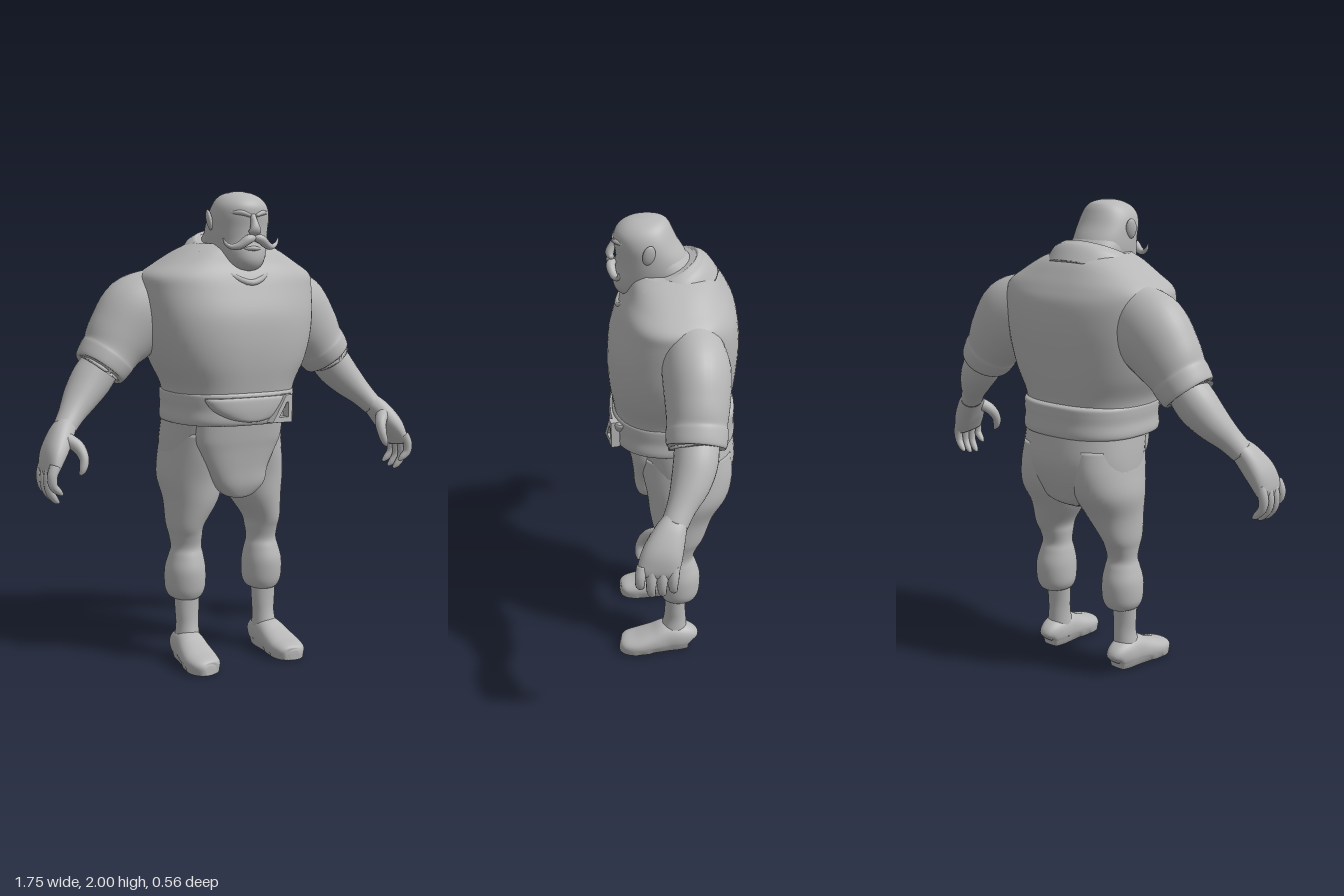
import * as THREE from 'three';

const clay = new THREE.MeshStandardMaterial({ color: 0xb8b8b8 });
clay.name = 'clay grey';

const V = (x, y, z) => new THREE.Vector3(x, y, z);
const X = V(1, 0, 0), Z = V(0, 0, 1);

// Smooth in-between rows through a short list of control rows
function refine(rows, steps) {
  const at = i => rows[Math.max(0, Math.min(rows.length - 1, i))], out = [];
  for (let i = 0; i < rows.length - 1; i++)
    for (let s = 0; s < steps; s++) {
      const t = s / steps;
      out.push(rows[i].map((b, k) => {
        const a = at(i - 1)[k], c = at(i + 1)[k], d = at(i + 2)[k];
        return b + 0.5 * t * (c - a + t * (2 * a - 5 * b + 4 * c - d + t * (3 * (b - c) + d - a)));
      }));
    }
  out.push(rows[rows.length - 1]);
  return out;
}

// Closed skin over rings; ringPoint(row index, cos, sin) gives each point
function skin(count, n, power, centre, ringPoint) {
  const pos = [], idx = [];
  const bend = v => Math.sign(v) * Math.abs(v) ** (2 / power);
  for (let i = 0; i < count; i++)
    for (let j = 0; j < n; j++) {
      const a = j / n * Math.PI * 2;
      pos.push(...ringPoint(i, bend(Math.cos(a)), bend(Math.sin(a))).toArray());
    }
  pos.push(...centre(0).toArray(), ...centre(count - 1).toArray());
  const last = (count - 1) * n;
  for (let j = 0; j < n; j++) {
    const k = (j + 1) % n;
    for (let i = 0; i < count - 1; i++) {
      const p = i * n + j, q = i * n + k;
      idx.push(p, p + n, q, q, p + n, q + n);
    }
    idx.push(count * n, j, k, count * n + 1, last + k, last + j);
  }
  const g = new THREE.BufferGeometry();
  g.setAttribute('position', new THREE.Float32BufferAttribute(pos, 3));
  g.setIndex(idx);
  g.computeVertexNormals();
  return g;
}

// Level rings, bottom to top: [y, x, radiusX, zFront, zBack]
function loft(rows, { n = 48, steps = 5, power = 2 } = {}) {
  const r = refine(rows, steps);
  const mid = i => V(r[i][1], r[i][0], (r[i][3] + r[i][4]) / 2);
  return skin(r.length, n, power, mid, (i, c, s) =>
    mid(i).add(V(c * r[i][2], 0, s * (r[i][3] - r[i][4]) / 2)));
}

// Rings square to a path: [x, y, z, radius along ref, other radius]
function sweep(rows, { n = 24, steps = 5, power = 2, ref = Z } = {}) {
  const r = refine(rows, steps), p = r.map(a => V(a[0], a[1], a[2]));
  return skin(r.length, n, power, i => p[i].clone(), (i, c, s) => {
    const t = p[Math.min(i + 1, p.length - 1)].clone().sub(p[Math.max(i - 1, 0)]).normalize();
    const u = ref.clone().addScaledVector(t, -ref.dot(t)).normalize();
    const v = u.clone().cross(t);
    return p[i].clone().addScaledVector(u, c * r[i][3]).addScaledVector(v, s * r[i][4]);
  });
}

export function createModel() {
  const root = new THREE.Group();
  root.name = 'strongman';
  const add = (name, geometry) => {
    const m = new THREE.Mesh(geometry, clay);
    m.name = name;
    root.add(m);
    return m;
  };

  // Torso and collar
  add('torso', loft([
    [1.1, 0, .265, .235, -.23], [1.2, 0, .28, .25, -.24], [1.3, 0, .33, .265, -.255],
    [1.4, 0, .362, .27, -.265], [1.5, 0, .378, .262, -.27], [1.6, 0, .387, .232, -.26],
    [1.66, 0, .38, .21, -.235], [1.71, 0, .31, .185, -.205], [1.76, 0, .225, .165, -.17],
    [1.79, 0, .16, .14, -.13]], { power: 2.5, n: 64 }));
  add('collar', sweep([
    [0, 1.69, -.01, .2, .19], [0, 1.735, .01, .195, .18], [0, 1.765, .025, .178, .163],
    [0, 1.785, .034, .155, .15], [0, 1.79, .036, .135, .135]], { ref: X, n: 48 }));
  add('neckline', sweep([
    [-.18, 1.75, .1, .02, .014], [-.1, 1.675, .175, .02, .014], [0, 1.63, .213, .022, .014],
    [.1, 1.675, .175, .02, .014], [.18, 1.75, .1, .02, .014]], { n: 10 }));

  // Belt, its front flap and buckle
  add('belt', loft([
    [1.045, 0, .255, .235, -.24], [1.05, 0, .273, .25, -.258], [1.07, 0, .278, .256, -.263],
    [1.11, 0, .274, .254, -.26], [1.15, 0, .277, .255, -.26], [1.175, 0, .276, .254, -.258],
    [1.185, 0, .262, .24, -.243]], { power: 2.5, n: 64 }));
  add('beltFlap', loft([
    [1.062, -.01, .04, .262, .2], [1.075, -.01, .1, .267, .2], [1.11, -.01, .165, .27, .18],
    [1.15, -.01, .2, .268, .17], [1.165, -.01, .2, .262, .17]], { power: 2.4 }));
  const frame = new THREE.Shape([[-.055, -.05], [.05, -.055], [.052, .055], [.02, .055]].map(p => new THREE.Vector2(...p)));
  frame.holes.push(new THREE.Path([[-.025, -.035], [.02, .03], [.035, .03], [.034, -.038]].map(p => new THREE.Vector2(...p))));
  const buckle = add('buckle', new THREE.ExtrudeGeometry(frame,
    { depth: .03, bevelSize: .004, bevelThickness: .004, bevelSegments: 2 }));
  buckle.position.set(.115, 1.108, .24);
  buckle.rotation.y = .25;

  // Hips and loincloth
  add('hips', loft([
    [.715, 0, .04, .02, -.12], [.75, 0, .13, .08, -.195], [.8, 0, .215, .105, -.225],
    [.87, 0, .265, .125, -.253], [.95, 0, .272, .15, -.267], [1.07, 0, .264, .18, -.25]], { power: 2.3 }));
  add('loincloth', loft([
    [.722, 0, .03, .14, .09], [.735, 0, .07, .15, .07], [.78, .003, .115, .165, .05],
    [.85, -.008, .142, .172, .05], [.93, -.008, .18, .182, .04], [.98, -.005, .197, .19, .04],
    [1.06, 0, .2, .2, .04]], { power: 2.5 }));

  // Head and neck
  add('neck', loft([[1.66, 0, .1, .12, -.1], [1.78, 0, .122, .15, -.098], [1.85, 0, .112, .15, -.05]]));
  add('head', loft([
    [1.678, 0, .035, .2, .06], [1.69, 0, .072, .222, 0], [1.72, 0, .1, .237, -.06],
    [1.76, 0, .116, .236, -.077], [1.8, 0, .124, .226, -.072], [1.85, 0, .126, .226, -.052],
    [1.9, 0, .124, .231, -.022], [1.94, 0, .113, .228, -.003], [1.97, 0, .092, .205, .012],
    [1.99, 0, .06, .17, .032], [2, 0, .02, .125, .075]], { power: 2.1 }));
  add('nose', sweep([
    [0, 1.905, .226, .012, .008], [0, 1.88, .238, .014, .014], [0, 1.85, .248, .023, .018],
    [0, 1.835, .244, .028, .014], [0, 1.825, .235, .014, .008]], { ref: X, n: 16 }));
  add('lowerLip', sweep([
    [-.035, 1.768, .222, .006, .005], [0, 1.77, .236, .012, .01], [.035, 1.768, .222, .006, .005]], { n: 12 }));

  // Parts repeated on both sides
  for (const [side, s] of [['left', 1], ['right', -1]]) {
    const flip = (rows, k = 0) => rows.map(r => r.map((v, i) => i === k ? v * s : v));
    const limb = (name, rows, o) => add(side + name, sweep(flip(rows), o));
    const column = (name, rows, o) => add(side + name, loft(flip(rows, 1), o));

    // Face
    limb('Brow', [[.012, 1.9, .228, .012, .007], [.05, 1.913, .217, .014, .011], [.09, 1.912, .178, .01, .006]], { n: 12 });
    limb('Moustache', [
      [0, 1.812, .235, .016, .012], [.03, 1.806, .245, .019, .019], [.065, 1.782, .236, .016, .016],
      [.095, 1.777, .222, .012, .011], [.118, 1.79, .215, .008, .007], [.128, 1.812, .213, .003, .003]], { n: 14 });
    const eye = add(side + 'Eye', new THREE.SphereGeometry(1, 16, 12));
    eye.scale.set(.02, .01, .01);
    eye.position.set(.05 * s, 1.886, .206);
    const ear = add(side + 'Ear', new THREE.SphereGeometry(1, 20, 14));
    ear.scale.set(.012, .042, .026);
    ear.position.set(.13 * s, 1.885, .095);
    ear.rotation.set(-.15, .3 * s, -.12 * s);

    // Arm
    limb('Sleeve', [
      [.27, 1.56, -.065, .12, .14], [.375, 1.498, -.08, .135, .168], [.46, 1.408, -.08, .126, .146],
      [.505, 1.348, -.076, .118, .124], [.522, 1.326, -.075, .121, .122], [.548, 1.292, -.073, .119, .115],
      [.558, 1.279, -.072, .112, .106], [.555, 1.283, -.072, .09, .085]], { n: 36 });
    limb('Forearm', [
      [.53, 1.315, -.075, .085, .08], [.592, 1.238, -.068, .087, .086], [.65, 1.17, -.045, .077, .073],
      [.708, 1.105, -.008, .057, .054], [.75, 1.055, .02, .052, .046]], { n: 28 });
    limb('Palm', [
      [.735, 1.075, .01, .045, .04], [.77, 1.035, .035, .062, .047], [.812, .97, .065, .078, .046],
      [.836, .915, .083, .08, .032], [.843, .885, .088, .072, .02]], { n: 28, power: 2.4 });
    for (const [i, drop] of [.04, 0, .004, .018].entries()) {
      const z = .146 - i * .042;
      limb('Finger' + (i + 1), [
        [.838, .93, z, .02, .022], [.853, .875 + drop * .4, z + .006, .021, .021],
        [.85, .825 + drop * .7, z + .008, .018, .018], [.826, .788 + drop, z + .004, .014, .014],
        [.81, .775 + drop, z + .002, .006, .006]], { n: 12 });
    }
    limb('Thumb', [
      [.775, 1.03, .07, .03, .03], [.73, .995, .115, .027, .026], [.716, .95, .145, .021, .02],
      [.725, .91, .155, .016, .016], [.738, .888, .155, .006, .006]], { n: 14 });

    // Leg
    column('TrouserLeg', [
      [.275, .19, .056, .045, -.085], [.288, .19, .074, .055, -.1], [.325, .19, .088, .066, -.112],
      [.4, .19, .088, .071, -.115], [.46, .187, .076, .057, -.098], [.5, .186, .067, .046, -.086],
      [.55, .187, .071, .058, -.103], [.6, .187, .08, .076, -.13], [.7, .157, .115, .1, -.172],
      [.8, .147, .139, .112, -.232], [.9, .14, .134, .13, -.25], [1, .13, .13, .14, -.24]]);
    column('Ankle', [
      [.04, .195, .058, .07, -.07], [.09, .193, .055, .062, -.06], [.16, .19, .049, .045, -.055],
      [.22, .19, .053, .04, -.052], [.3, .19, .058, .04, -.055]], { n: 28 });
    const foot = limb('Foot', [
      [.195, .045, -.088, .025, .025], [.195, .055, -.075, .045, .048], [.196, .065, -.03, .06, .063],
      [.198, .068, .03, .065, .068], [.203, .055, .09, .072, .054], [.207, .04, .16, .076, .043],
      [.207, .034, .21, .066, .036], [.206, .03, .235, .045, .026], [.205, .03, .243, .02, .014]],
      { n: 32, ref: X, power: 2.3 }).geometry;
    // Flat sole
    const p = foot.attributes.position;
    for (let i = 0; i < p.count; i++) if (p.getY(i) < .022) p.setY(i, Math.max(0, (p.getY(i) - .01) * .4));
    foot.computeVertexNormals();
  }
  return root;
}
